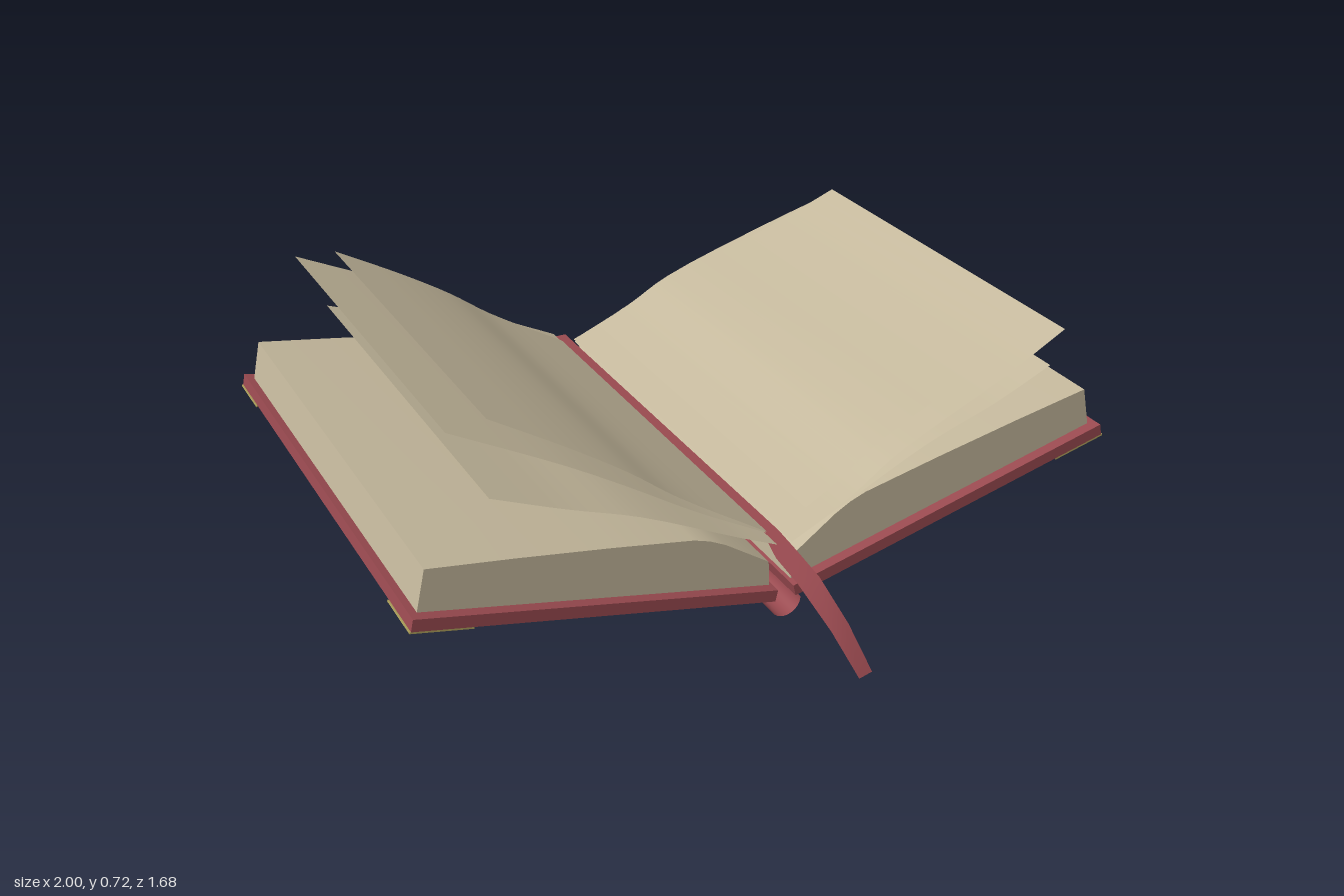
import * as THREE from 'three';
import { toCreasedNormals } from 'three/addons/utils/BufferGeometryUtils.js';

const mat = (color, side = THREE.FrontSide) => new THREE.MeshStandardMaterial({ color, side });
const BACK = -0.84, FRONT = 0.55;

// Thin surface lofted between two polylines of equal length
function strip(edgeA, edgeB) {
  const pos = [], idx = [];
  edgeA.forEach((a, i) => {
    pos.push(...a.toArray(), ...edgeB[i].toArray());
    const k = i * 2;
    if (i) idx.push(k - 2, k - 1, k, k, k - 1, k + 1);
  });
  const g = new THREE.BufferGeometry();
  g.setAttribute('position', new THREE.Float32BufferAttribute(pos, 3));
  g.setIndex(idx);
  g.computeVertexNormals();
  return g;
}

// Cross-section in x, y extruded along z
function prism(points, z0, z1) {
  const shape = new THREE.Shape(points.map(p => new THREE.Vector2(...p)));
  const g = new THREE.ExtrudeGeometry(shape, { depth: z1 - z0, bevelEnabled: false });
  return toCreasedNormals(g.translate(0, 0, z0), 0.5);
}

// Loose page: curve runs from the fold outwards; zIn and zOut are its [back, front]
function page(curve, zIn, zOut) {
  const pts = new THREE.CatmullRomCurve3(curve.map(([x, y]) => new THREE.Vector3(x, y, 0))).getPoints(16);
  const x0 = pts[0].x, x1 = pts[16].x;
  const edge = k => pts.map(p =>
    new THREE.Vector3(p.x, p.y, THREE.MathUtils.lerp(zIn[k], zOut[k], (p.x - x0) / (x1 - x0))));
  return x1 > x0 ? strip(edge(1), edge(0)) : strip(edge(0), edge(1));
}

export function createModel() {
  const book = new THREE.Group();
  book.name = 'openBook';
  const red = mat(0x9a4a50), paper = mat(0xc4b89c), brass = mat(0xb0a25c);
  const redThin = mat(0x9a4a50, THREE.DoubleSide), paperThin = mat(0xc4b89c, THREE.DoubleSide);
  const add = (name, geometry, material) => {
    const m = new THREE.Mesh(geometry, material);
    m.name = name;
    book.add(m);
    return m;
  };

  for (const s of [1, -1]) {
    const side = s > 0 ? 'left' : 'right';
    const flip = pts => pts.map(([x, y]) => [s * x, y]);

    // Cover board, sloping up from the spine
    add(side + 'Cover', prism(flip([[0.03, 0.08], [0.995, 0.303], [0.988, 0.335], [0.023, 0.112]]), BACK, FRONT), red);

    // Block of pages resting on the board
    add(side + 'PageBlock', prism(flip([[0.032, 0.113], [0.968, 0.33], [0.943, 0.44], [0.72, 0.402],
      [0.47, 0.356], [0.25, 0.312], [0.205, 0.296], [0.16, 0.272], [0.035, 0.185]]), -0.81, 0.52), paper);

    // Triangular corner guards under the outer corners
    for (const t of [1, -1]) {
      const tri = new THREE.Shape([new THREE.Vector2(0, 0), new THREE.Vector2(-0.16 * s, 0), new THREE.Vector2(0, -0.15 * t)]);
      const g = new THREE.ExtrudeGeometry(tri, { depth: 0.005, bevelEnabled: false }).rotateX(Math.PI / 2);
      const guard = add(side + (t > 0 ? 'Front' : 'Back') + 'CornerGuard', g, brass);
      guard.position.set(s * 0.998, 0.304, t > 0 ? FRONT : BACK);
      guard.rotation.z = s * Math.atan2(0.223, 0.965);
    }
  }

  // Rounded open spine below the boards
  const spine = new THREE.CylinderGeometry(0.045, 0.045, FRONT - BACK, 16, 1, true, -Math.PI / 2, Math.PI);
  add('spine', spine.rotateX(Math.PI / 2).translate(0, 0.072, (FRONT + BACK) / 2), redThin);

  // Loose pages fanning up from the fold
  const pages = [
    [[[-0.02, 0.25], [-0.26, 0.405], [-0.39, 0.505], [-0.54, 0.605], [-0.73, 0.72]], [-0.775, 0.485], [-0.695, 0.41]],
    [[[-0.02, 0.245], [-0.2, 0.34], [-0.39, 0.455], [-0.54, 0.54], [-0.81, 0.675]], [-0.84, 0.48], [-0.815, 0.35]],
    [[[-0.02, 0.24], [-0.13, 0.29], [-0.39, 0.415], [-0.58, 0.485], [-0.765, 0.56]], [-0.77, 0.535], [-0.7, 0.49]],
    [[[0.02, 0.25], [0.2, 0.325], [0.33, 0.402], [0.68, 0.54], [0.87, 0.628]], [-0.77, 0.545], [-0.655, 0.5]],
    [[[0.02, 0.245], [0.2, 0.33], [0.33, 0.405], [0.68, 0.532], [0.89, 0.598]], [-0.775, 0.48], [-0.695, 0.405]],
    [[[0.02, 0.24], [0.2, 0.315], [0.43, 0.41], [0.65, 0.475], [0.82, 0.54]], [-0.77, 0.54], [-0.7, 0.515]],
  ];
  pages.forEach((p, i) => add('loosePage' + (i + 1), page(...p), paperThin));

  // Ribbon bookmark lying in the fold and hanging out at the front: [x, y, z, half width]
  const path = [[0, 0.235, BACK, 0.02], [0, 0.235, 0.47, 0.022], [0, 0.212, 0.55, 0.032],
    [0.01, 0.185, 0.64, 0.032], [0.03, 0.11, 0.76, 0.028], [0.063, 0.003, 0.835, 0.022]];
  const edge = s => path.map(([x, y, z, w], i) =>
    new THREE.Vector3(x + s * w, y, z - (i > 3 ? s * 0.005 : 0)));
  add('ribbon', strip(edge(-1), edge(1)), redThin);

  return book;
}
